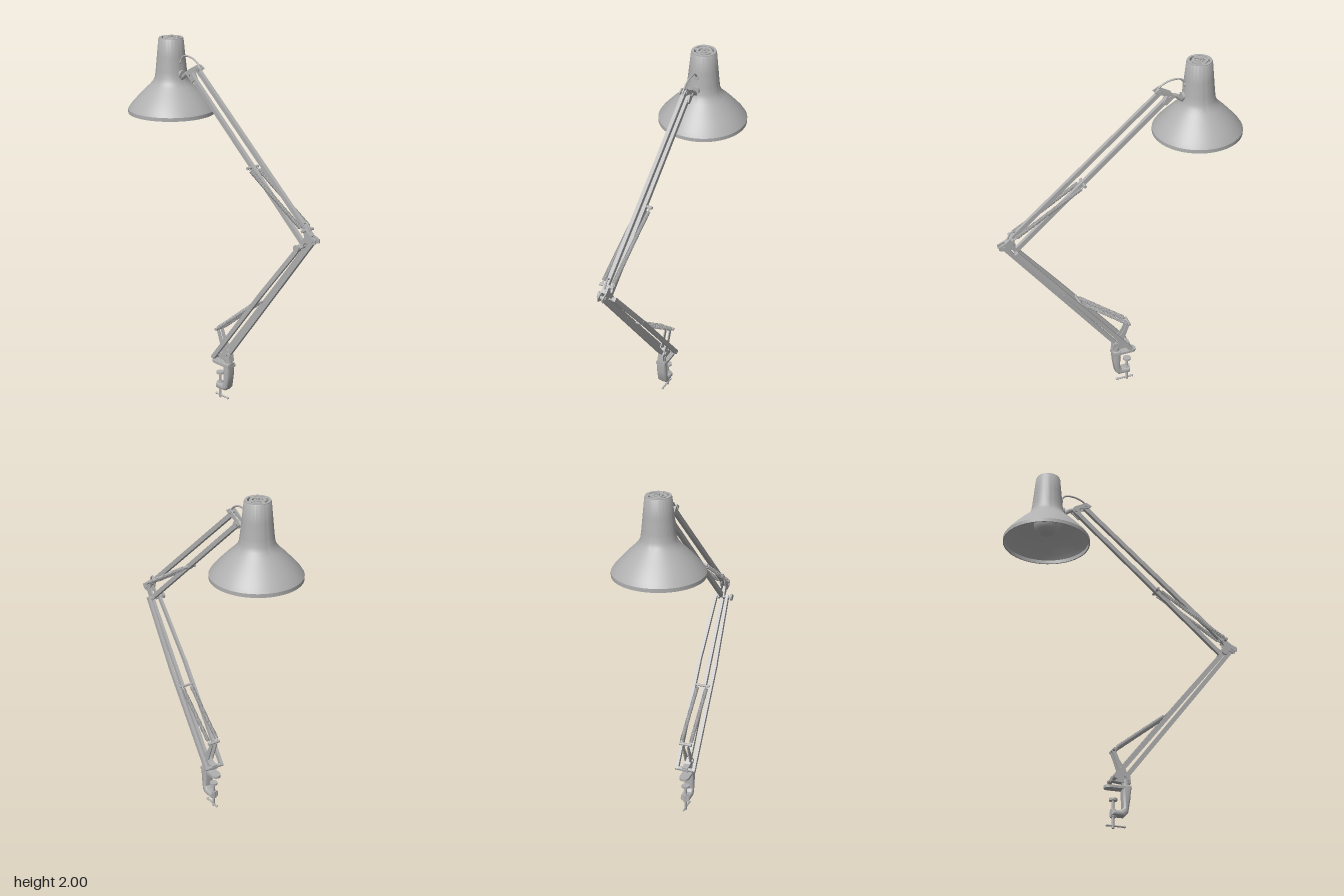
import * as THREE from 'three';
import { toCreasedNormals } from 'three/addons/utils/BufferGeometryUtils.js';

const UP = new THREE.Vector3(0, 1, 0);
const V = (x, y, z) => new THREE.Vector3(x, y, z);

export function createModel() {
  const model = new THREE.Group();
  const grey = new THREE.MeshStandardMaterial({ color: 0xb0b0b0 });
  grey.name = 'grey metal';

  function add(name, geometry, x = 0, y = 0, z = 0) {
    const mesh = new THREE.Mesh(geometry, grey);
    mesh.name = name;
    mesh.position.set(x, y, z);
    model.add(mesh);
    return mesh;
  }
  // Places a part whose long axis is Y between two points
  function span(name, a, b, make) {
    const d = b.clone().sub(a);
    const mesh = add(name, make(d.length()));
    mesh.position.copy(a).add(b).multiplyScalar(0.5);
    mesh.quaternion.setFromUnitVectors(UP, d.normalize());
    return mesh;
  }
  const bar = (name, a, b, w, t) => span(name, a, b, l => new THREE.BoxGeometry(w, l, t));
  const rod = (name, a, b, r, r2 = r) => span(name, a, b, l => new THREE.CylinderGeometry(r2, r, l, 16));
  const pin = (name, y, z, half, r) => rod(name, V(-half, y, z), V(half, y, z), r);
  // Flat plate in the side plane, outline given as [z, y]
  function plate(name, outline, width, x = 0, bevel = 0) {
    const shape = new THREE.Shape(outline.map(([z, y]) => new THREE.Vector2(z, y)));
    const g = new THREE.ExtrudeGeometry(shape, {
      depth: width - 2 * bevel, bevelEnabled: bevel > 0,
      bevelSize: bevel, bevelThickness: bevel, bevelOffset: -bevel, bevelSegments: 3,
    });
    g.translate(0, 0, -width / 2 + bevel);
    g.rotateY(-Math.PI / 2);
    return add(name, bevel ? toCreasedNormals(g, 0.7) : g, x);
  }
  const tube = (name, points, r) =>
    add(name, new THREE.TubeGeometry(new THREE.CatmullRomCurve3(points), 28, r, 8));
  // Coil spring with straight hooks at both ends
  class Coil extends THREE.Curve {
    constructor(length, radius, turns) { super(); Object.assign(this, { length, radius, turns }); }
    getPoint(t, out = new THREE.Vector3()) {
      const a = t * this.turns * Math.PI * 2;
      return out.set(Math.cos(a) * this.radius, (t - 0.5) * this.length, Math.sin(a) * this.radius);
    }
  }
  function spring(name, a, b) {
    const p = a.clone().lerp(b, 0.05), q = a.clone().lerp(b, 0.95);
    span(name, p, q, l => new THREE.TubeGeometry(new Coil(l, 0.0085, Math.round(l / 0.006)), Math.round(l / 0.006) * 10, 0.003, 5));
    rod(name + 'Core', a, b, 0.004);
  }
  const lathe = (name, pts, x, y, z, crease = 0.6) =>
    add(name, toCreasedNormals(new THREE.LatheGeometry(pts.map(p => new THREE.Vector2(...p)), 64), crease), x, y, z);

  // Table clamp: C-shaped body, upper jaw, screw, pad and handle
  plate('clampBody', [[0.045, 0.235], [0, 0.235], [-0.002, 0.2], [0.002, 0.11], [-0.012, 0.095],
    [-0.06, 0.095], [-0.062, 0.065], [0.01, 0.065], [0.028, 0.085], [0.04, 0.16]], 0.056, 0, 0.012);
  const jaw = new THREE.Shape();
  jaw.moveTo(-0.028, -0.045);
  jaw.lineTo(0.028, -0.045);
  jaw.lineTo(0.028, 0.07);
  jaw.absarc(0, 0.07, 0.028, 0, Math.PI);
  const jawGeometry = new THREE.ExtrudeGeometry(jaw, { depth: 0.014, bevelEnabled: false, curveSegments: 16 });
  jawGeometry.rotateX(-Math.PI / 2);
  add('clampJaw', jawGeometry, 0, 0.21, 0);
  rod('clampScrew', V(0, 0, -0.048), V(0, 0.15, -0.048), 0.007);
  rod('clampPad', V(0, 0.146, -0.048), V(0, 0.158, -0.048), 0.022);
  rod('screwBoss', V(0, 0.058, -0.048), V(0, 0.1, -0.048), 0.016);
  rod('screwHandle', V(0, 0.014, 0.012), V(0, 0.014, -0.08), 0.005);
  for (const z of [0.014, -0.08]) add('handleEnd', new THREE.SphereGeometry(0.007, 12, 8), 0, 0.014, z);
  rod('swivelPost', V(0, 0.22, 0.02), V(0, 0.262, 0.02), 0.022);

  // Base bracket carrying the lower pivots and the spring lever
  plate('baseBracket', [[0.045, 0.245], [0.04, 0.285], [0.005, 0.31], [-0.02, 0.28], [-0.06, 0.275], [-0.06, 0.25], [0, 0.245]], 0.034);
  for (const s of [-1, 1])
    plate('springLever', [[0.028, 0.285], [-0.018, 0.295], [-0.06, 0.412], [-0.052, 0.428], [-0.042, 0.424], [-0.02, 0.37], [0.015, 0.32]], 0.006, s * 0.014);
  pin('rearPivot', 0.262, -0.05, 0.058, 0.011);
  pin('frontPivot', 0.285, 0.015, 0.024, 0.01);
  pin('lowerSpringPin', 0.42, -0.05, 0.036, 0.008);

  // Lower arm: single centre bar and a pair that narrows towards the elbow
  bar('lowerCentreBar', V(0, 0.275, 0.015), V(0, 1.095, 0.64), 0.018, 0.024);
  for (const s of [-1, 1]) {
    bar('lowerSideBar', V(s * 0.049, 0.258, -0.053), V(s * 0.049, 0.75, 0.333), 0.017, 0.024);
    bar('lowerSideBarTaper', V(s * 0.049, 0.745, 0.329), V(s * 0.033, 1.068, 0.586), 0.015, 0.024);
    spring('lowerSpring', V(s * 0.027, 0.42, -0.05), V(s * 0.027, 0.65, 0.24));
    spring('upperSpring', V(s * 0.029, 1.15, 0.6), V(s * 0.029, 1.395, 0.2));
  }
  pin('lowerSpringCrossbar', 0.648, 0.24, 0.044, 0.007);
  pin('elbowCrossbar', 1.06, 0.58, 0.042, 0.01);
  rod('elbowKnobStem', V(-0.055, 1.06, 0.58), V(-0.03, 1.06, 0.58), 0.007);
  rod('elbowKnob', V(-0.063, 1.06, 0.58), V(-0.052, 1.06, 0.58), 0.018);

  // Elbow bracket joining both arms
  for (const s of [-1, 1])
    plate('elbowPlate', [[0.672, 1.115], [0.672, 1.095], [0.645, 1.085], [0.6, 1.085], [0.575, 1.045], [0.56, 1.06],
      [0.595, 1.115], [0.585, 1.15], [0.6, 1.16], [0.635, 1.13]], 0.007, s * 0.0135);
  pin('elbowPivot', 1.105, 0.645, 0.021, 0.01);

  // Upper arm: two parallel bars with a cross pin for the springs
  bar('upperTopBar', V(0, 1.12, 0.63), V(0, 1.845, -0.22), 0.02, 0.024);
  bar('upperBottomBar', V(0, 1.065, 0.58), V(0, 1.812, -0.275), 0.02, 0.024);
  pin('upperSpringPin', 1.15, 0.6, 0.04, 0.008);
  pin('upperSpringCrossbar', 1.395, 0.2, 0.04, 0.008);
  tube('elbowCable', [V(0, 1.12, 0.62), V(0, 1.165, 0.612), V(0, 1.188, 0.592), V(0, 1.17, 0.572), V(0, 1.14, 0.575)], 0.005);

  // Head bracket, shade mount and cable
  for (const s of [-1, 1])
    plate('headPlate', [[-0.185, 1.855], [-0.215, 1.872], [-0.285, 1.835], [-0.3, 1.81], [-0.275, 1.79],
      [-0.25, 1.77], [-0.237, 1.785], [-0.258, 1.825], [-0.205, 1.84]], 0.007, s * 0.0135);
  pin('headPivotTop', 1.853, -0.215, 0.021, 0.009);
  pin('headPivotBottom', 1.812, -0.275, 0.023, 0.01);
  tube('shadeArm', [V(0, 1.82, -0.275), V(0, 1.81, -0.31), V(0, 1.79, -0.335), V(0, 1.775, -0.358)], 0.012);
  rod('shadeMount', V(0, 1.8, -0.34), V(0, 1.8, -0.37), 0.022);
  rod('cableGrommet', V(0, 1.865, -0.35), V(0, 1.865, -0.375), 0.011);
  tube('headCable', [V(0, 1.845, -0.195), V(0, 1.88, -0.225), V(0, 1.903, -0.28), V(0, 1.9, -0.335), V(0, 1.87, -0.36)], 0.005);

  // Shade: double-walled lathe with a short straight rim
  const outer = [[0.238, 1.58], [0.238, 1.6], [0.222, 1.624], [0.188, 1.662], [0.15, 1.702], [0.118, 1.732],
    [0.1, 1.752], [0.09, 1.775], [0.085, 1.81], [0.077, 1.89], [0.068, 1.982], [0.064, 1.989]];
  const inner = outer.map(([r, y]) => [r - 0.007, y]).reverse();
  lathe('shade', [...inner, ...outer], 0, 0, -0.437, 0.5);

  // Vented cap: disc with curved slots, floor behind it and a centre stud
  const cap = new THREE.Shape();
  cap.absarc(0, 0, 0.065, 0, Math.PI * 2);
  function slots(rIn, rOut, count, gap) {
    for (let i = 0; i < count; i++) {
      const a = (i / count) * Math.PI * 2 + gap, b = ((i + 1) / count) * Math.PI * 2 - gap;
      const hole = new THREE.Path();
      hole.absarc(0, 0, rOut, a, b, false);
      hole.absarc(0, 0, rIn, b, a, true);
      hole.closePath();
      cap.holes.push(hole);
    }
  }
  slots(0.042, 0.052, 4, 0.2);
  slots(0.019, 0.028, 3, 0.2);
  const capGeometry = new THREE.ExtrudeGeometry(cap, { depth: 0.006, bevelEnabled: false, curveSegments: 32 });
  capGeometry.rotateX(-Math.PI / 2);
  add('ventCap', capGeometry, 0, 1.984, -0.437);
  add('capFloor', new THREE.CylinderGeometry(0.066, 0.066, 0.004, 40), 0, 1.955, -0.437);
  rod('capStud', V(0, 1.985, -0.437), V(0, 2, -0.437), 0.008);

  // Lamp holder and bulb
  rod('lampHolder', V(0, 1.8, -0.437), V(0, 1.957, -0.437), 0.034);
  lathe('bulb', [[0.001, 1.632], [0.03, 1.638], [0.055, 1.656], [0.07, 1.685], [0.07, 1.712], [0.058, 1.743],
    [0.04, 1.77], [0.03, 1.8], [0.028, 1.83]], 0, 0, -0.437, 1.2);

  return model;
}
